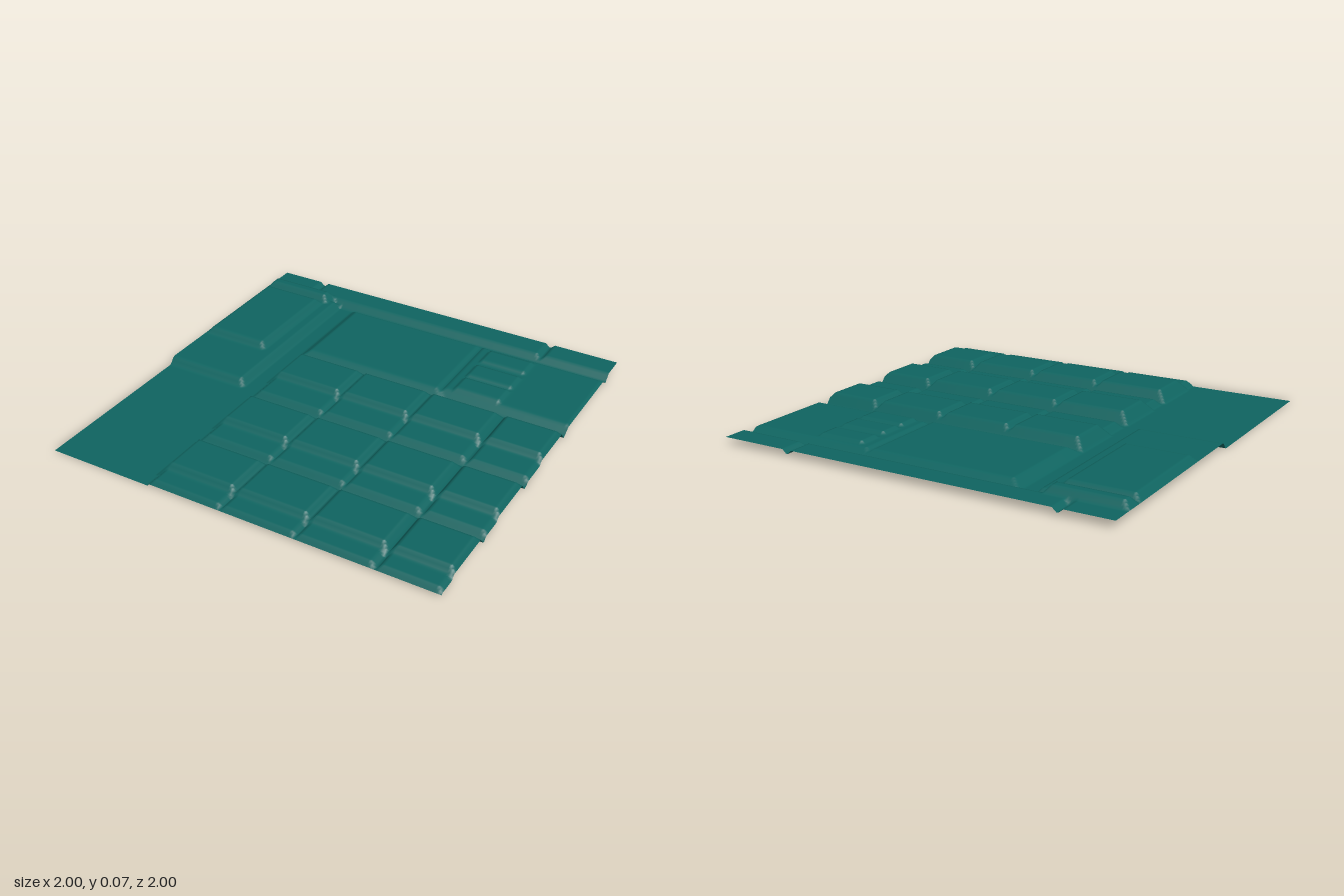
import * as THREE from 'three';

// A raised pad: x0, x1, z0, z1 are its foot, h its height, b the width of its sloped edge.
const pads = [];
const pad = (x0, x1, z0, z1, h, b) => pads.push({ x0, x1, z0, z1, h, b });

// Three rows of two-step keys: a low shelf in front of a taller block
const columns = [[-0.47, -0.04], [-0.09, 0.34], [0.29, 0.72], [0.68, 1.03]];
const rows = [[-0.28, 0.02, 0.16], [0.18, 0.49, 0.6], [0.61, 0.92, 1.01]];
for (const [back, step, front] of rows) {
  for (const [x0, x1] of columns) {
    pad(x0, x1, back, step, 0.06, 0.05);
    pad(x0 + 0.01, x1 - 0.015, back, front, 0.032, 0.03);
  }
}

// Wide low panel at the back with three overlapping ribs
pad(-0.47, 0.36, -0.84, -0.275, 0.036, 0.05);
pad(0.3, 1.04, -0.84, -0.295, 0.036, 0.05);
for (const z of [-0.8, -0.64, -0.5]) pad(0.36, 0.67, z, z + 0.185, 0.05, 0.04);

// Stepped corner block
pad(-1.03, -0.55, -0.86, 0.115, 0.035, 0.03);
pad(-1.03, -0.6, -0.82, -0.165, 0.066, 0.06);
pad(-1.03, -0.58, -0.92, -0.76, 0.07, 0.06);

// Back border strip
pad(-1.05, -0.73, -1.05, -0.82, 0.036, 0.04);
pad(-0.76, 0.65, -1.04, -0.84, 0.036, 0.04);
pad(0.62, 1.05, -1.04, -0.84, 0.036, 0.04);

function heightAt(x, z) {
  let y = 0;
  for (const p of pads) {
    const inside = Math.min(x - p.x0, p.x1 - x, z - p.z0, p.z1 - z);
    if (inside > 0) y = Math.max(y, p.h * Math.min(1, inside / p.b));
  }
  return y;
}

export function createModel() {
  const teal = new THREE.MeshStandardMaterial({ color: 0x0f6460, side: THREE.DoubleSide });
  teal.name = 'teal';

  // One thin sheet lifted by the pads
  const geometry = new THREE.PlaneGeometry(2, 2, 200, 200).rotateX(-Math.PI / 2);
  const position = geometry.attributes.position;
  for (let i = 0; i < position.count; i++) {
    position.setY(i, heightAt(position.getX(i), position.getZ(i)));
  }
  geometry.computeVertexNormals();

  const sheet = new THREE.Mesh(geometry, teal);
  sheet.name = 'panelSheet';
  const group = new THREE.Group();
  group.name = 'reliefPanel';
  group.add(sheet);
  return group;
}
